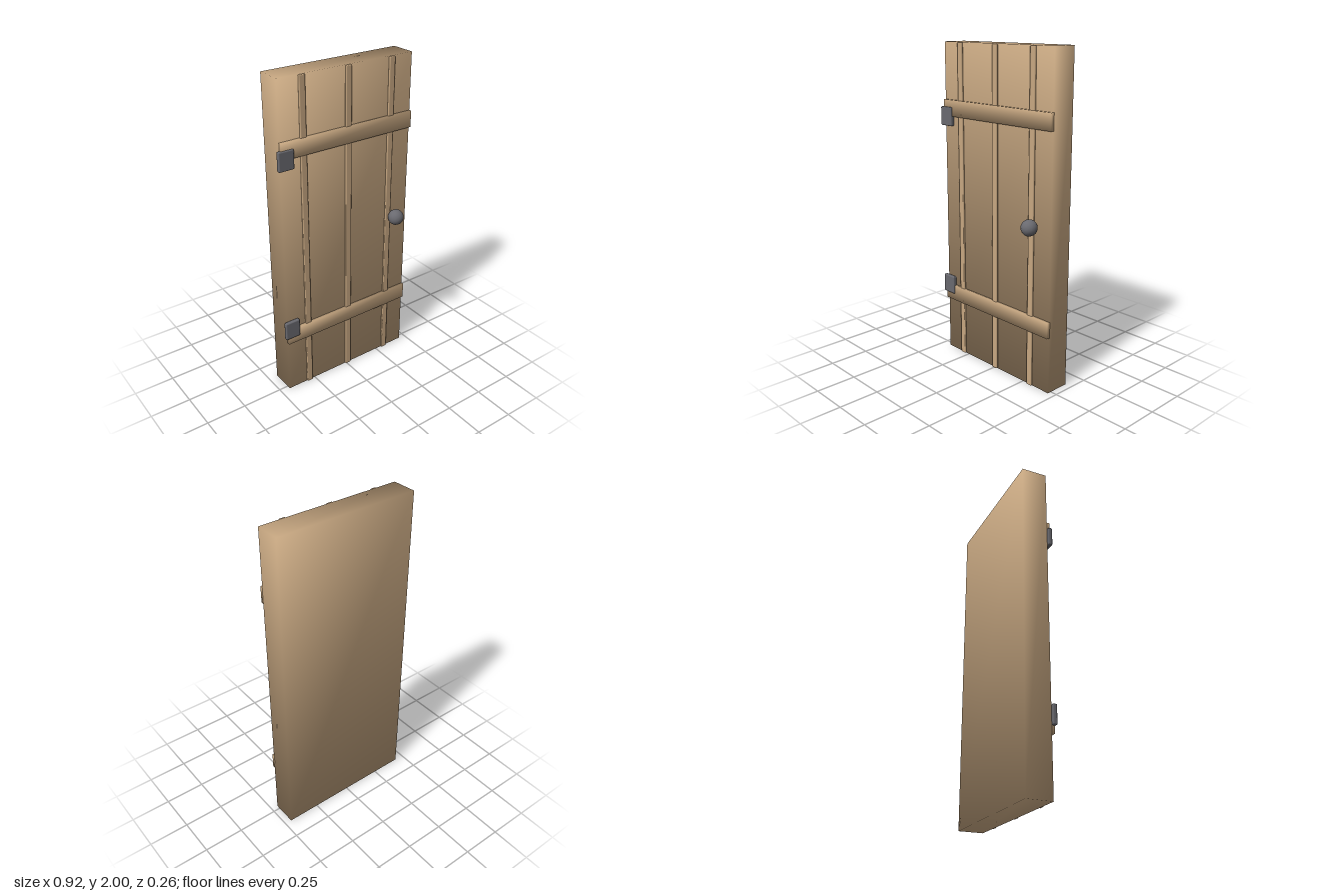
import * as THREE from 'three';
import { RoundedBoxGeometry } from 'three/addons/geometries/RoundedBoxGeometry.js';

const wood = new THREE.MeshStandardMaterial({ color: 0xc8a882 });
const metal = new THREE.MeshStandardMaterial({ color: 0x6a6a70 });

// Box whose corner normals are averaged, for soft shading across its faces
function softBox(w, h, d) {
  const geometry = new THREE.BoxGeometry(w, h, d);
  const { position, normal } = geometry.attributes;
  const k = 1 / Math.sqrt(3);
  for (let i = 0; i < position.count; i++) {
    normal.setXYZ(i, k * Math.sign(position.getX(i)), k * Math.sign(position.getY(i)), k * Math.sign(position.getZ(i)));
  }
  return geometry;
}

export function createModel() {
  const door = new THREE.Group();
  door.name = 'door';

  const add = (name, geometry, material, x, y, z) => {
    const mesh = new THREE.Mesh(geometry, material);
    mesh.name = name;
    mesh.position.set(x, y, z);
    door.add(mesh);
  };

  // Thick door slab
  add('slab', softBox(0.896, 2, 0.155), wood, 0.008, 1, -0.0525);

  // Narrow vertical strips over the plank joints
  [-0.292, 0.008, 0.308].forEach((x, i) =>
    add(`plankStrip${i + 1}`, new RoundedBoxGeometry(0.04, 1.998, 0.015, 1, 0.006), wood, x, 1, 0.0315));

  // Cross battens, each with a hinge plate on the right edge
  [['lower', 0.403, 0.455], ['upper', 1.605, 1.553]].forEach(([level, battenY, hingeY]) => {
    add(`${level}Batten`, softBox(0.896, 0.1, 0.022), wood, 0.008, battenY, 0.031);
    add(`${level}Hinge`, new RoundedBoxGeometry(0.098, 0.116, 0.026, 1, 0.007), metal, -0.411, hingeY, 0.038);
  });

  // Round door knob
  add('knob', new THREE.IcosahedronGeometry(0.049, 2), metal, 0.338, 1.005, 0.079);

  return door;
}
